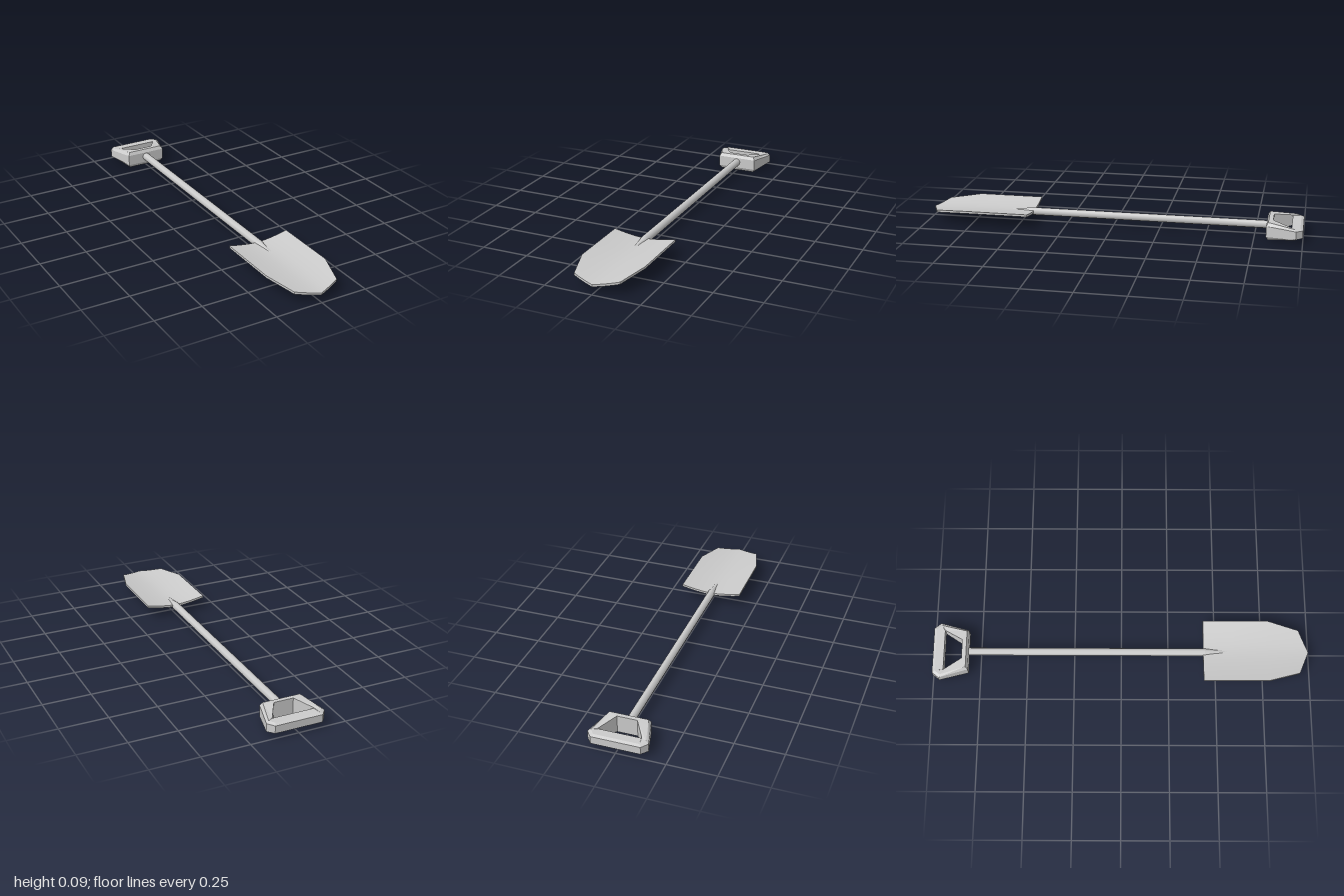
import * as THREE from 'three';
import { toCreasedNormals } from 'three/addons/utils/BufferGeometryUtils.js';

const material = new THREE.MeshStandardMaterial({ color: 0xcccccc });

// Skin a list of closed cross-sections; optionally join the last to the first.
function loft(rings, loop) {
  const n = rings[0].length, m = rings.length;
  const index = [];
  for (let i = 0; i < (loop ? m : m - 1); i++) {
    for (let j = 0; j < n; j++) {
      const a = i * n + j, b = ((i + 1) % m) * n + j;
      const c = ((i + 1) % m) * n + (j + 1) % n, d = i * n + (j + 1) % n;
      index.push(a, b, c, a, c, d);
    }
  }
  const geometry = new THREE.BufferGeometry();
  geometry.setAttribute('position', new THREE.Float32BufferAttribute(rings.flat(2), 3));
  geometry.setIndex(index);
  return geometry;
}

function add(group, name, geometry) {
  const mesh = new THREE.Mesh(geometry, material);
  mesh.name = name;
  group.add(mesh);
  return mesh;
}

// D-shaped grip: a bevelled ring, thick at the shaft and thin at the back
function gripGeometry() {
  const stations = [
    { outer: [0.11, -0.812], edge: [0.1, -0.822], inner: [0.052, -0.845], half: 0.0465, band: 0.029 },
    { outer: [0.153, -0.965], edge: [0.138, -0.958], inner: [0.11, -0.94], half: 0.029, band: 0.021 },
    { outer: [0.125, -1], edge: [0.116, -0.985], inner: [0.108, -0.941], half: 0.027, band: 0.02 },
  ];
  const section = ({ outer, edge, inner, half, band }, side) => [
    [outer, -band], [outer, band], [edge, half], [inner, half], [inner, -half], [edge, -half],
  ].map(([[x, z], y]) => [x * side, 0.0465 + y, z]);
  const rings = [
    ...stations.map((s) => section(s, 1)),
    ...stations.slice().reverse().map((s) => section(s, -1)),
  ];
  return toCreasedNormals(loft(rings, true), 0.15);
}

// Dished blade with a pointed tip; zero-thickness rows close both ends
function bladeGeometry() {
  const rows = [
    // z, half width, tip length, droop, thickness
    [0.435, 0.168, 0, 0, 0],
    [0.435, 0.168, 0, 0, 0.012],
    [0.6, 0.168, 0, 0, 0.012],
    [0.78, 0.168, 0, 0, 0.012],
    [0.945, 0.12, 0.05, 0.007, 0.012],
    [0.945, 0.12, 0.05, 0.007, 0],
  ];
  const columns = 8;
  const rings = rows.map(([z, width, tip, droop, thickness]) => {
    const point = (k, offset) => {
      const u = (k / columns) * 2 - 1, x = u * width;
      const y = 0.052 + 0.024 * Math.pow(Math.abs(x) / 0.168, 1.6) - droop;
      return [x, y + offset, z + tip * (1 - Math.abs(u))];
    };
    const ring = [];
    for (let k = 0; k <= columns; k++) ring.push(point(k, thickness / 2));
    for (let k = columns; k >= 0; k--) ring.push(point(k, -thickness / 2));
    return ring;
  });
  return toCreasedNormals(loft(rings, false), 0.6);
}

// Straight cylinder section running along z
function rod(backRadius, frontRadius, backZ, frontZ) {
  return new THREE.CylinderGeometry(frontRadius, backRadius, frontZ - backZ, 8)
    .rotateX(Math.PI / 2)
    .translate(0, 0.051, (backZ + frontZ) / 2);
}

export function createModel() {
  const group = new THREE.Group();
  group.name = 'shovel';

  add(group, 'grip', gripGeometry());
  add(group, 'shaft', rod(0.021, 0.021, -0.83, 0.445));

  // Socket tapering into the blade
  add(group, 'socket', rod(0.021, 0.013, 0.445, 0.5));
  add(group, 'socketTip', rod(0.013, 0.004, 0.5, 0.6));

  add(group, 'blade', bladeGeometry());
  return group;
}
